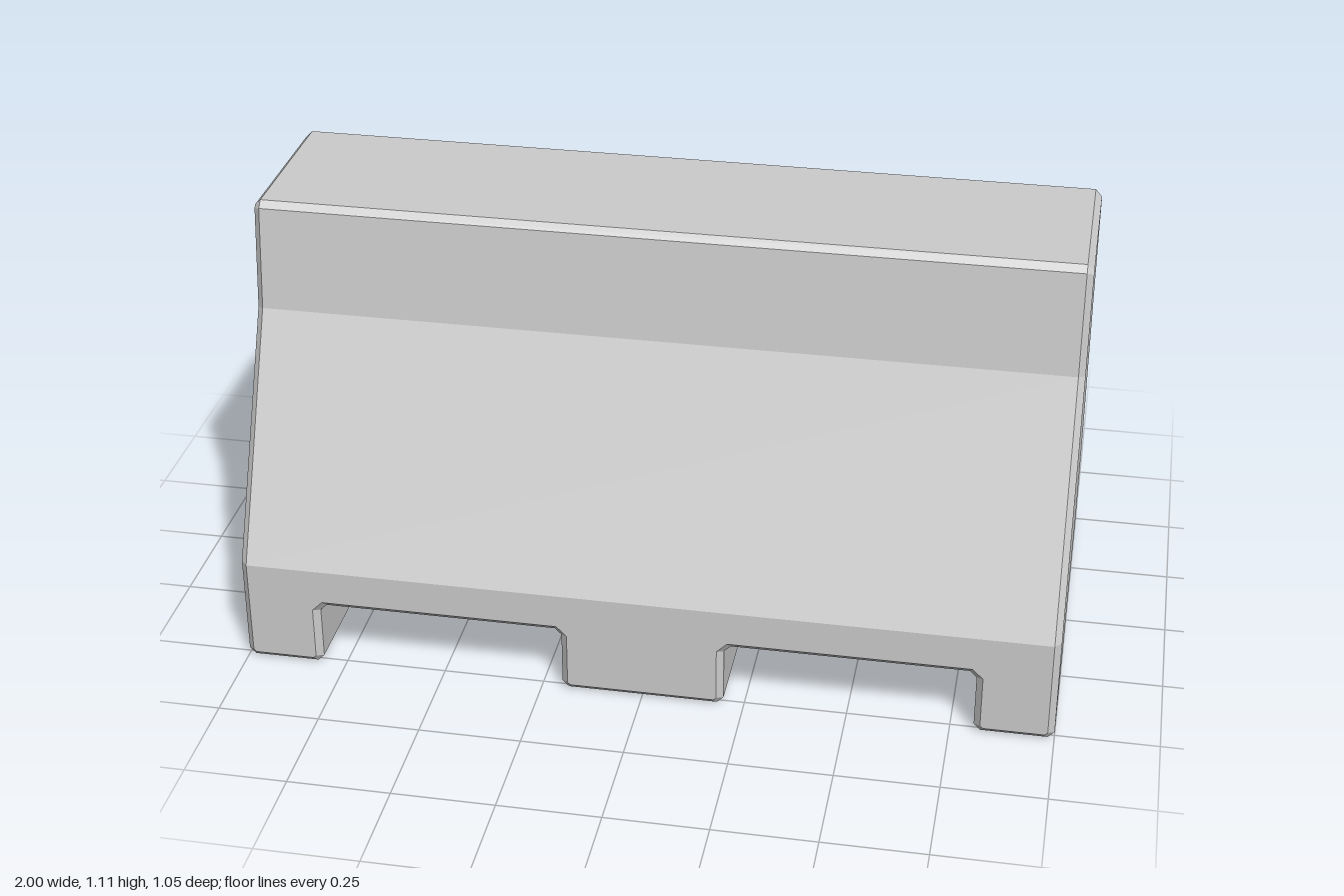
import * as THREE from 'three';

const BEVEL = 0.016;
const SHOULDER = 0.27; // height where the vertical base meets the sloped body

// Chamfered extrusion of an outline, centred along its depth.
function bevelled(points, length) {
  const geo = new THREE.ExtrudeGeometry(new THREE.Shape(points), {
    depth: length - 2 * BEVEL,
    bevelEnabled: true,
    bevelSegments: 1,
    bevelSize: BEVEL,
    bevelThickness: BEVEL,
    bevelOffset: -BEVEL,
  });
  return geo.translate(0, 0, -length / 2 + BEVEL);
}

// Adjusts the height of every vertex by a rule.
function remapY(geo, rule) {
  const p = geo.attributes.position;
  for (let i = 0; i < p.count; i++) p.setY(i, rule(p.getY(i)));
  geo.computeVertexNormals();
  return geo;
}

// Cuts each listed corner of a closed outline.
function cutCorners(corners, size) {
  const out = [];
  corners.forEach((c, i) => {
    const prev = corners[(i + corners.length - 1) % corners.length];
    const next = corners[(i + 1) % corners.length];
    if (c.y >= SHOULDER) { out.push(c); return; }
    for (const n of [prev, next]) {
      out.push(c.clone().add(n.clone().sub(c).setLength(size)));
    }
  });
  return out;
}

const mirrored = (half) => [
  ...half.map(([x, y]) => new THREE.Vector2(x, y)),
  ...half.slice().reverse().map(([x, y]) => new THREE.Vector2(-x, y)),
];

export function createModel() {
  const group = new THREE.Group();
  group.name = 'concreteBarrier';
  const material = new THREE.MeshStandardMaterial({ color: 0xcccccc, flatShading: true });

  // Base with two forklift slots running front to back
  const slotTop = 0.167;
  const baseOutline = cutCorners(mirrored([
    [0.2, 0], [0.2, slotTop], [0.807, slotTop], [0.807, 0], [1, 0], [1, SHOULDER],
  ]), BEVEL);
  // Flatten the top chamfer so the base meets the body cleanly
  const baseGeo = remapY(bevelled(baseOutline, 1.05), (y) => (y > 0.23 ? SHOULDER : y));
  const base = new THREE.Mesh(baseGeo, material);
  base.name = 'slottedBase';

  // Sloped body, extruded along the barrier's length
  const bodyOutline = mirrored([
    [0.525, 0.2], [0.525, SHOULDER], [0.256, 0.842], [0.225, 1.094], [0.209, 1.11],
  ]);
  const bodyGeo = bevelled(bodyOutline, 2).rotateY(Math.PI / 2);
  const body = new THREE.Mesh(remapY(bodyGeo, (y) => Math.max(y, SHOULDER)), material);
  body.name = 'slopedBody';

  group.add(base, body);
  return group;
}
